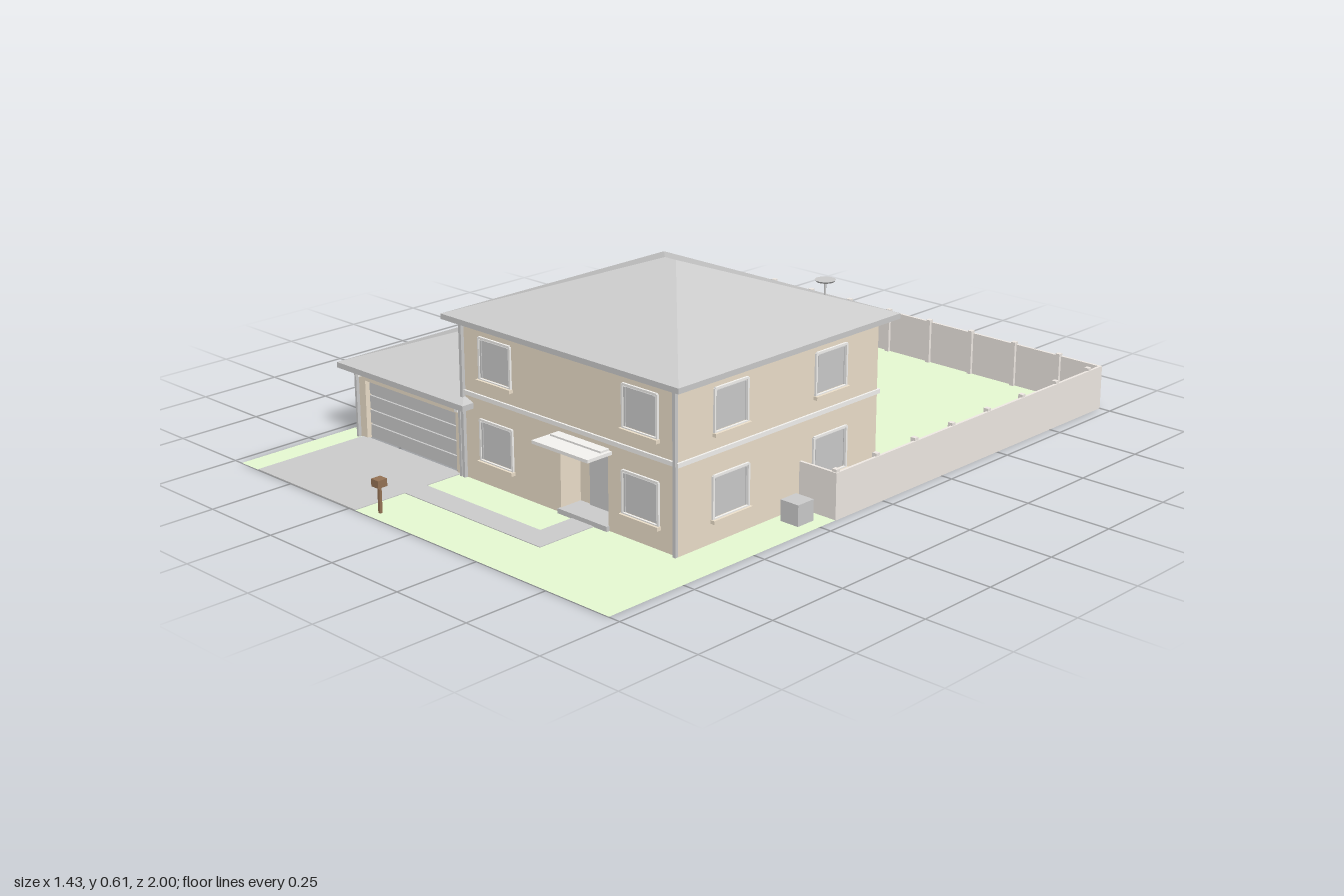
import * as THREE from 'three';
import { ConvexGeometry } from 'three/addons/geometries/ConvexGeometry.js';

const mat = (color) => new THREE.MeshStandardMaterial({ color });
const grey = mat(0xcccccc);
const wall = mat(0xede0cb);
const trim = mat(0xf4f3f0);
const fenceMat = mat(0xf0eae4);
const brown = mat(0x957355);
const lawnMat = mat(0xe6fad2);
lawnMat.side = THREE.DoubleSide;

function add(parent, name, geometry, material) {
  const mesh = new THREE.Mesh(geometry, material);
  mesh.name = name;
  parent.add(mesh);
  return mesh;
}

// Box given by its extents along x, y and z
function box(parent, name, [x0, x1], [y0, y1], [z0, z1], material) {
  const mesh = add(parent, name, new THREE.BoxGeometry(x1 - x0, y1 - y0, z1 - z0), material);
  mesh.position.set((x0 + x1) / 2, (y0 + y1) / 2, (z0 + z1) / 2);
  return mesh;
}

function group(parent, name) {
  const g = new THREE.Group();
  g.name = name;
  parent.add(g);
  return g;
}

// Hipped roof with an upright eave edge and a short ridge
function hipRoof(parent, name, [x0, x1], [z0, z1], eave, fascia, top, ridge) {
  const pts = [];
  for (const x of [x0, x1]) for (const z of [z0, z1]) for (const y of [eave, eave + fascia]) {
    pts.push(new THREE.Vector3(x, y, z));
  }
  for (const [x, z] of ridge) pts.push(new THREE.Vector3(x, top, z));
  add(parent, name, new ConvexGeometry(pts), grey);
}

// Window facing +z in its own frame, with border, mullion and sill
function windowUnit(parent, x, y, z, turn, w = 0.12, h = 0.115, isDoor = false) {
  const g = group(parent, isDoor ? 'patioDoor' : 'window');
  g.position.set(x, y, z);
  g.rotation.y = turn;
  const a = w / 2, b = h / 2, t = 0.006;
  box(g, 'glass', [-a + t, a - t], [-b + t, b - t], [-0.004, 0.002], grey);
  for (const s of [-1, 1]) {
    box(g, 'sideFrame', [s * a - t / 2, s * a + t / 2], [-b, b], [-0.004, 0.005], trim);
    box(g, 'sash', [s * (a - 0.008) - 0.003, s * (a - 0.008) + 0.003], [-b + t, b - t], [0, 0.004], grey);
    box(g, 'crossFrame', [-a, a], [s * b - t / 2, s * b + t / 2], [-0.004, 0.005], trim);
  }
  if (isDoor) box(g, 'mullion', [-0.003, 0.003], [-b, b], [0, 0.004], grey);
  else box(g, 'sill', [-a - 0.006, a + 0.006], [-b - 0.01, -b], [-0.004, 0.012], wall);
}

function buildGround(root) {
  // Lawn with a cut-out for the garage, side yard and driveway
  const shape = new THREE.Shape([
    [-0.72, -1], [-0.645, -1], [-0.645, 0.12], [-0.225, 0.12],
    [-0.225, -1], [0.715, -1], [0.715, 1], [-0.72, 1],
  ].map(([x, y]) => new THREE.Vector2(x, y)));
  const lawn = add(root, 'lawn', new THREE.ShapeGeometry(shape), lawnMat);
  lawn.rotation.x = -Math.PI / 2;
  lawn.position.y = 0.001;
  box(root, 'driveway', [-0.645, -0.225], [0, 0.003], [0.635, 1], grey);
  box(root, 'path', [-0.225, 0.3], [0.001, 0.003], [0.76, 0.835], grey);
  box(root, 'pathToDoor', [0.22, 0.3], [0.001, 0.003], [0.64, 0.76], grey);
}

function buildHouse(root) {
  const g = group(root, 'house');
  const X = [-0.2, 0.59], Y = [0.001, 0.45], Z = [-0.12, 0.64];
  box(g, 'backWall', X, Y, [-0.12, -0.1], wall);
  box(g, 'leftSideWall', [0.57, 0.59], Y, Z, wall);
  box(g, 'rightSideWall', [-0.2, -0.18], Y, Z, wall);
  // Front wall open at the recessed entrance
  box(g, 'frontWall', [-0.2, 0.17], Y, [0.62, 0.64], wall);
  box(g, 'frontWall', [0.345, 0.59], Y, [0.62, 0.64], wall);
  box(g, 'frontWall', [0.17, 0.345], [0.21, 0.45], [0.62, 0.64], wall);

  const p = group(g, 'entrance');
  box(p, 'alcoveBack', [0.16, 0.355], [0, 0.22], [0.56, 0.57], wall);
  for (const x of [0.16, 0.345]) box(p, 'alcoveSide', [x, x + 0.01], [0, 0.22], [0.56, 0.635], wall);
  box(p, 'alcoveCeiling', [0.16, 0.355], [0.21, 0.22], [0.56, 0.635], wall);
  box(p, 'step', [0.167, 0.348], [0, 0.015], [0.565, 0.65], grey);
  box(p, 'door', [0.21, 0.305], [0.015, 0.165], [0.565, 0.575], grey);
  box(p, 'doorHandle', [0.295, 0.3], [0.08, 0.09], [0.575, 0.582], grey);
  box(p, 'wallLamp', [0.32, 0.33], [0.14, 0.16], [0.57, 0.582], trim);
  box(p, 'canopy', [0.155, 0.36], [0.21, 0.219], [0.635, 0.725], trim);
  box(p, 'canopyTop', [0.165, 0.35], [0.219, 0.224], [0.635, 0.67], trim);

  // Trim band between the floors
  box(g, 'bandFront', [-0.205, 0.595], [0.238, 0.25], [0.635, 0.646], trim);
  box(g, 'bandBack', [-0.205, 0.595], [0.238, 0.25], [-0.126, -0.115], trim);
  box(g, 'bandLeft', [0.585, 0.596], [0.238, 0.25], [-0.126, 0.646], trim);
  box(g, 'bandRight', [-0.206, -0.195], [0.238, 0.25], [-0.126, 0.646], trim);
  for (const x of [-0.201, 0.585]) box(g, 'downpipe', [x - 0.005, x + 0.005], [0, 0.448], [0.64, 0.65], grey);

  hipRoof(g, 'houseRoof', [-0.24, 0.63], [-0.16, 0.68], 0.445, 0.015, 0.61, [[0.175, 0.26], [0.215, 0.26]]);

  // Windows on all four sides
  const low = 0.123, high = 0.352;
  for (const x of [-0.073, 0.462]) {
    windowUnit(g, x, high, 0.641, 0);
    windowUnit(g, x, low, 0.641, 0, 0.125);
  }
  for (const z of [0.453, 0.073]) {
    windowUnit(g, 0.591, high, z, Math.PI / 2);
    windowUnit(g, 0.591, low, z, Math.PI / 2, 0.13);
  }
  for (const z of [0.1, 0.36]) windowUnit(g, -0.201, high, z, -Math.PI / 2, 0.115);
  for (const x of [0.47, 0.205, -0.06]) windowUnit(g, x, high, -0.121, Math.PI, 0.11);
  for (const x of [0.47, -0.065]) windowUnit(g, x, low, -0.121, Math.PI, 0.12);
  windowUnit(g, 0.2, 0.09, -0.121, Math.PI, 0.17, 0.17, true);

  // Dish on a pole
  const pole = add(g, 'dishPole', new THREE.CylinderGeometry(0.003, 0.003, 0.055, 8), grey);
  pole.position.set(0.475, 0.517, -0.035);
  const dish = add(g, 'dish', new THREE.CylinderGeometry(0.028, 0.024, 0.005, 24), grey);
  dish.position.set(0.475, 0.545, -0.035);
}

function buildGarage(root) {
  const g = group(root, 'garage');
  box(g, 'garageBackWall', [-0.66, -0.2], [0, 0.21], [0.16, 0.175], wall);
  box(g, 'garageOuterWall', [-0.66, -0.645], [0, 0.21], [0.16, 0.64], wall);
  box(g, 'garageFrontWall', [-0.66, -0.625], [0, 0.21], [0.62, 0.64], wall);
  box(g, 'garageFrontWall', [-0.24, -0.2], [0, 0.21], [0.62, 0.64], wall);
  box(g, 'garageLintel', [-0.625, -0.24], [0.172, 0.21], [0.62, 0.64], wall);
  // Sectional door
  box(g, 'garageDoor', [-0.63, -0.235], [0, 0.175], [0.612, 0.62], grey);
  for (let i = 0; i < 4; i++) {
    box(g, 'doorPanel', [-0.624, -0.241], [i * 0.043 + 0.002, i * 0.043 + 0.04], [0.619, 0.626], grey);
  }
  for (const x of [-0.645, -0.224]) box(g, 'garageLamp', [x - 0.006, x + 0.006], [0.182, 0.2], [0.64, 0.653], trim);
  for (const x of [-0.656, -0.213]) box(g, 'garageDownpipe', [x - 0.004, x + 0.004], [0, 0.206], [0.64, 0.65], grey);
  hipRoof(g, 'garageRoof', [-0.7, -0.165], [0.12, 0.678], 0.203, 0.016, 0.315, [[-0.435, 0.39], [-0.435, 0.41]]);
}

function buildFence(root) {
  const g = group(root, 'fence');
  const H = [0, 0.13];
  box(g, 'backFence', [-0.72, 0.715], H, [-1, -0.992], fenceMat);
  for (const [x, ret] of [[-0.72, [-0.72, -0.655]], [0.707, [0.585, 0.715]]]) {
    box(g, 'sideFence', [x, x + 0.008], H, [-1, 0.19], fenceMat);
    box(g, 'fenceReturn', ret, H, [0.182, 0.19], fenceMat);
  }
  // Posts standing just inside the panels
  for (let i = 0; i < 8; i++) {
    const z = -0.94 + i * 0.16, x = -0.55 + i * 0.16;
    for (const px of [-0.718, 0.698]) box(g, 'post', [px, px + 0.015], [0, 0.138], [z - 0.007, z + 0.007], fenceMat);
    box(g, 'post', [x - 0.007, x + 0.007], [0, 0.138], [-0.998, -0.983], fenceMat);
  }
}

export function createModel() {
  const root = new THREE.Group();
  root.name = 'houseWithGarden';
  buildGround(root);
  buildHouse(root);
  buildGarage(root);
  buildFence(root);

  // Cooling unit beside the house
  box(root, 'coolingUnit', [0.615, 0.675], [0.001, 0.06], [0.23, 0.29], grey);
  // Mailbox by the street
  box(root, 'mailboxPost', [-0.169, -0.161], [0, 0.08], [0.961, 0.969], brown);
  box(root, 'mailbox', [-0.179, -0.151], [0.075, 0.096], [0.95, 0.98], brown);
  return root;
}
